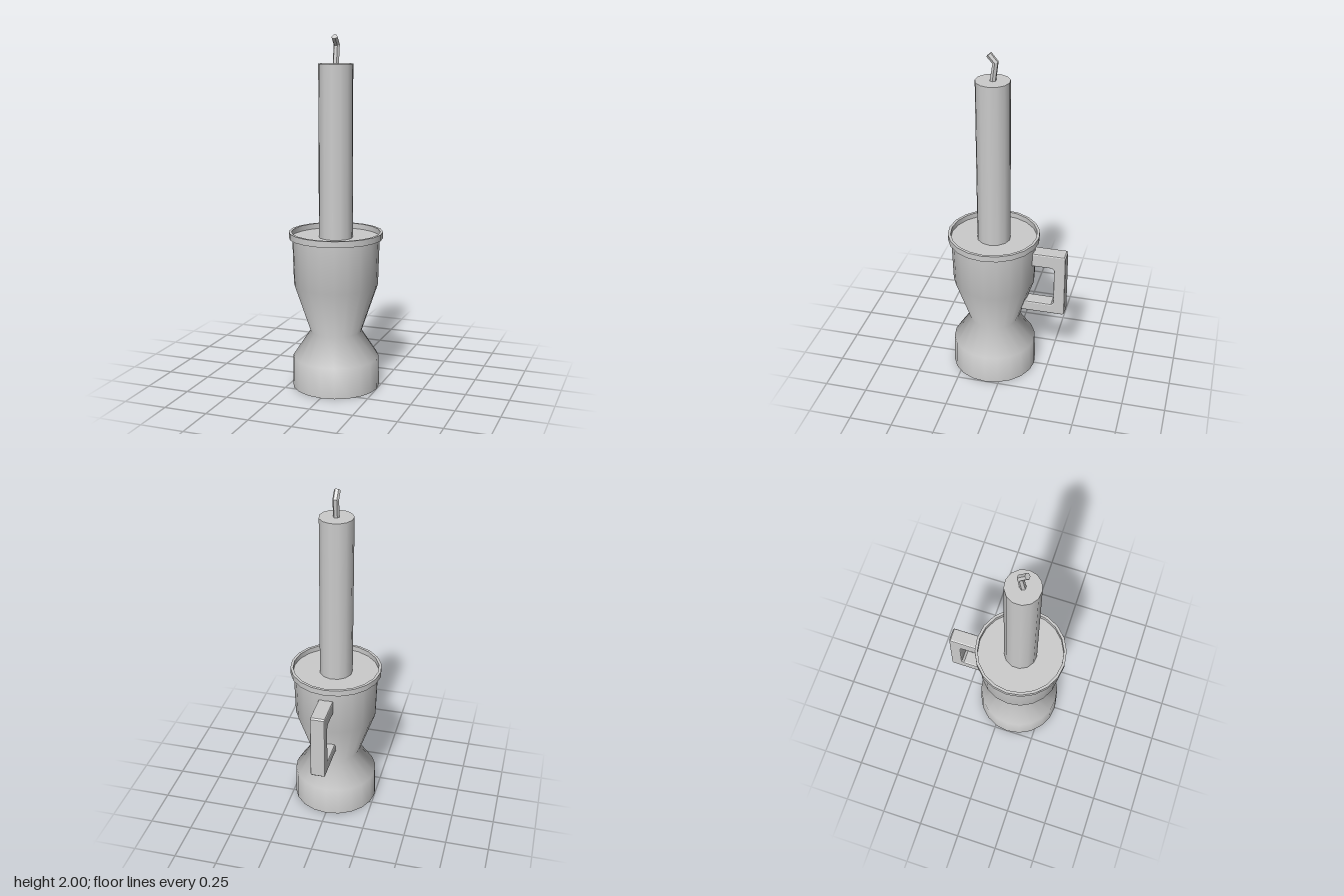
import * as THREE from 'three';

const AXIS_Z = 0.083; // candle axis, offset forward to leave room for the handle
const v2 = (x, y) => new THREE.Vector2(x, y);

export function createModel() {
  const group = new THREE.Group();
  const material = new THREE.MeshStandardMaterial({ color: 0xcccccc });
  const add = (name, geometry, z = AXIS_Z, mat = material) => {
    const mesh = new THREE.Mesh(geometry, mat);
    mesh.name = name;
    mesh.position.z = z;
    group.add(mesh);
    return mesh;
  };

  // Waisted holder: smooth sides
  add('holderBody', new THREE.LatheGeometry([
    v2(0.25, 0), v2(0.246, 0.175), v2(0.147, 0.325), v2(0.24, 0.6), v2(0.248, 0.872),
  ], 20));

  // Flat discs: underside and the sunken tray around the candle
  const disc = (name, radius, y, up) => {
    const geometry = new THREE.CircleGeometry(radius, 20, Math.PI / 2);
    geometry.rotateX(up ? -Math.PI / 2 : Math.PI / 2);
    add(name, geometry).position.y = y;
  };
  disc('holderBase', 0.25, 0, false);
  disc('holderTray', 0.252, 0.874, true);

  // Rim: separate lathe strips keep its edges sharp
  const rim = [v2(0.246, 0.87), v2(0.267, 0.87), v2(0.267, 0.905), v2(0.251, 0.905), v2(0.251, 0.87)];
  for (let i = 0; i < rim.length - 1; i++) {
    add('holderRim', new THREE.LatheGeometry([rim[i], rim[i + 1]], 20));
  }

  // Candle
  const candle = new THREE.CylinderGeometry(0.097, 0.097, 0.973, 13);
  candle.rotateY(Math.PI / 2);
  add('candle', candle).position.y = 0.872 + 0.973 / 2;

  // Bent wick: each ring of a hexagonal cylinder is moved and tilted along the bend
  const wick = new THREE.CylinderGeometry(0.018, 0.018, 2, 6, 2).toNonIndexed();
  wick.rotateY(Math.PI / 2);
  const rings = [ // y, z, tilt towards the front
    [1.835, 0.083, 0], [1.948, 0.067, 0.3], [1.99, 0.103, 0.72],
  ];
  const p = wick.attributes.position;
  for (let i = 0; i < p.count; i++) {
    const [y, z, tilt] = rings[Math.round(p.getY(i)) + 1];
    const d = p.getZ(i);
    p.setXYZ(i, p.getX(i), y - d * Math.sin(tilt), z + d * Math.cos(tilt));
  }
  wick.computeVertexNormals();
  add('wick', wick, 0);

  // Square handle: C-shaped outline (shape x runs backwards), bevelled
  const bevel = 0.009;
  const outline = [
    [0.12, 0.82], [0.12, 0.733], [0.27, 0.733], [0.283, 0.72], [0.283, 0.498],
    [0.27, 0.485], [0.06, 0.485], [0.06, 0.42], [0.342, 0.42], [0.35, 0.428],
    [0.35, 0.812], [0.342, 0.82],
  ];
  const handle = new THREE.ExtrudeGeometry(new THREE.Shape(outline.map(([x, y]) => v2(x, y))), {
    depth: 0.086 - 2 * bevel, bevelThickness: bevel, bevelSize: bevel,
    bevelOffset: -bevel, bevelSegments: 2,
  });
  handle.translate(0, 0, bevel - 0.043);
  handle.rotateY(Math.PI / 2);
  add('handle', handle, 0);

  return group;
}
